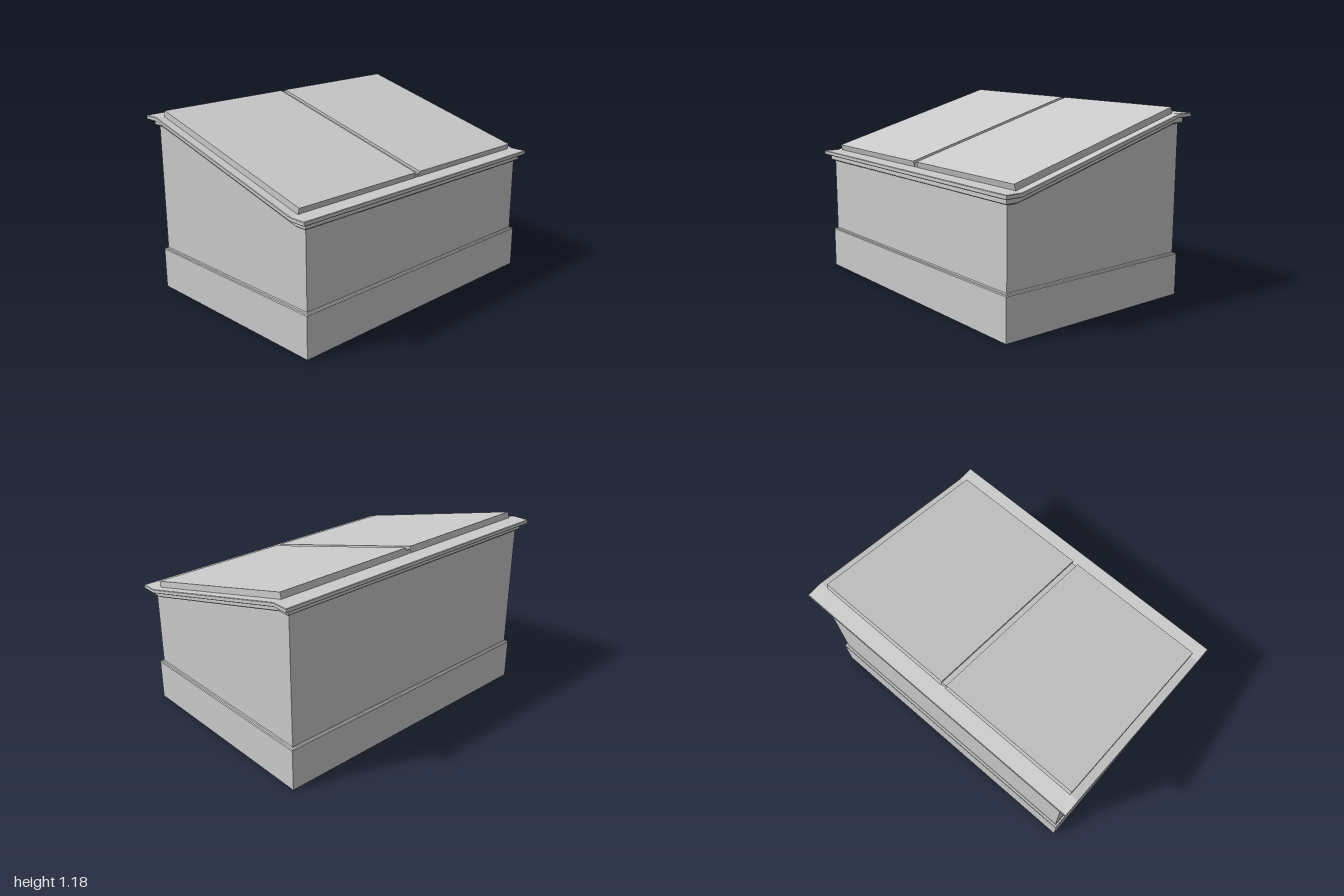
import * as THREE from 'three';

const BREAK = 0.61;   // the roof slopes between z = BREAK and z = -BREAK
const RISE = 0.33;    // height gained from front to back
const lift = z => RISE * (BREAK - THREE.MathUtils.clamp(z, -BREAK, BREAK)) / (2 * BREAK);

const grey = new THREE.MeshStandardMaterial({ color: 0xcccccc });
const shellGrey = new THREE.MeshStandardMaterial({ color: 0xcccccc, side: THREE.DoubleSide, flatShading: true });

// Rectangular ring with extra points where the slope starts and ends
function ring([hx, hz, y, sloped]) {
  const m = Math.min(hz, BREAK);
  return [[-hx, hz], [hx, hz], [hx, m], [hx, -m], [hx, -hz], [-hx, -hz], [-hx, -m], [-hx, m]]
    .map(([x, z]) => [x, y + (sloped ? lift(z) : 0), z]);
}

// Open shell joining successive rings
function shell(name, profile) {
  const rings = profile.map(ring);
  const pos = [];
  for (let r = 0; r < rings.length - 1; r++) {
    const a = rings[r], b = rings[r + 1];
    for (let i = 0; i < a.length; i++) {
      const j = (i + 1) % a.length;
      pos.push(...a[i], ...a[j], ...b[j], ...a[i], ...b[j], ...b[i]);
    }
  }
  const geo = new THREE.BufferGeometry();
  geo.setAttribute('position', new THREE.Float32BufferAttribute(pos, 3));
  geo.computeVertexNormals();
  const mesh = new THREE.Mesh(geo, shellGrey);
  mesh.name = name;
  return mesh;
}

export function createModel() {
  const group = new THREE.Group();
  group.name = 'slopedHatch';

  // Hollow base: plinth with a small bevelled ledge
  group.add(shell('plinth', [
    [0.961, 0.683, 0], [0.961, 0.683, 0.262], [0.957, 0.679, 0.267],
    [0.947, 0.669, 0.268], [0.943, 0.665, 0.274],
  ]));

  // Walls rising to the sloping eaves
  group.add(shell('walls', [
    [0.943, 0.665, 0.274, false], [0.943, 0.665, 0.748, true],
  ]));

  // Two-step cornice and the top frame around the opening
  group.add(shell('cornice', [
    [0.943, 0.665, 0.748, true], [0.946, 0.668, 0.752, true], [0.959, 0.681, 0.753, true],
    [0.963, 0.685, 0.758, true], [0.963, 0.685, 0.783, true], [0.967, 0.689, 0.789, true],
    [0.995, 0.711, 0.789, true], [1, 0.715, 0.793, true], [1, 0.715, 0.812, true],
    [0.997, 0.712, 0.815, true], [0.9, 0.6, 0.815, true],
  ]));

  // Everything on the roof is laid out flat, then tilted
  const roof = new THREE.Group();
  roof.name = 'roof';
  roof.position.set(0, 0.815 + RISE / 2, 0);
  roof.rotation.x = Math.atan2(RISE, 2 * BREAK);
  const length = Math.hypot(RISE, 2 * BREAK) - 0.004;
  const slab = (name, width, height, x, len) => {
    const mesh = new THREE.Mesh(new THREE.BoxGeometry(width, height, len), grey);
    mesh.name = name;
    mesh.position.set(x, height / 2, 0);
    roof.add(mesh);
  };
  for (const [name, s] of [['leftDoor', 1], ['rightDoor', -1]]) {
    slab(name, 0.926, 0.039, s * 0.481, length);
  }
  slab('centreStrip', 0.036, 0.022, 0, length - 0.01);
  group.add(roof);

  return group;
}
